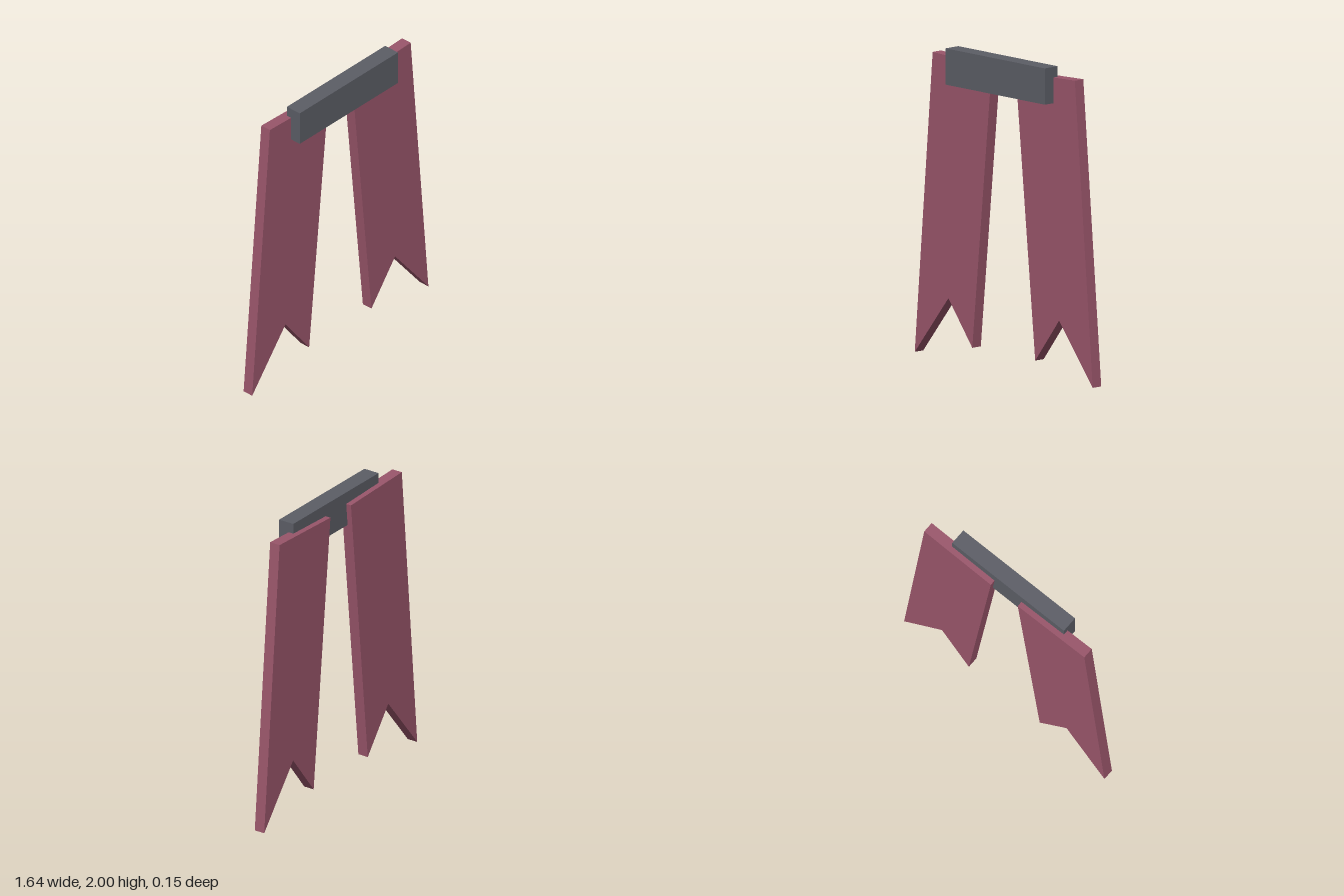
import * as THREE from 'three';

// Flat ribbon with a swallow-tail end; side is +1 (left) or -1 (right)
function makeTail(side, material) {
  const outline = [[0.11, 1.92], [0.29, 0.1], [0.51, 0.386], [0.82, 0], [0.655, 1.94]];
  const shape = new THREE.Shape(outline.map(([x, y]) => new THREE.Vector2(side * x, y)));
  const geometry = new THREE.ExtrudeGeometry(shape, { depth: 0.073, bevelEnabled: false });
  geometry.translate(0, 0, -0.073);
  const mesh = new THREE.Mesh(geometry, material);
  mesh.name = side > 0 ? 'leftRibbonTail' : 'rightRibbonTail';
  return mesh;
}

export function createModel() {
  const model = new THREE.Group();
  model.name = 'ribbon';
  const cloth = new THREE.MeshStandardMaterial({ color: 0x9a566b });
  const metal = new THREE.MeshStandardMaterial({ color: 0x5c5e66 });

  // Two mirrored hanging tails
  for (const side of [1, -1]) model.add(makeTail(side, cloth));

  // Bar holding the tails, partly sunk into their front
  const bar = new THREE.Mesh(new THREE.BoxGeometry(0.914, 0.232, 0.109), metal);
  bar.name = 'clampBar';
  bar.position.set(0, 1.884, 0.0185);
  model.add(bar);

  return model;
}
